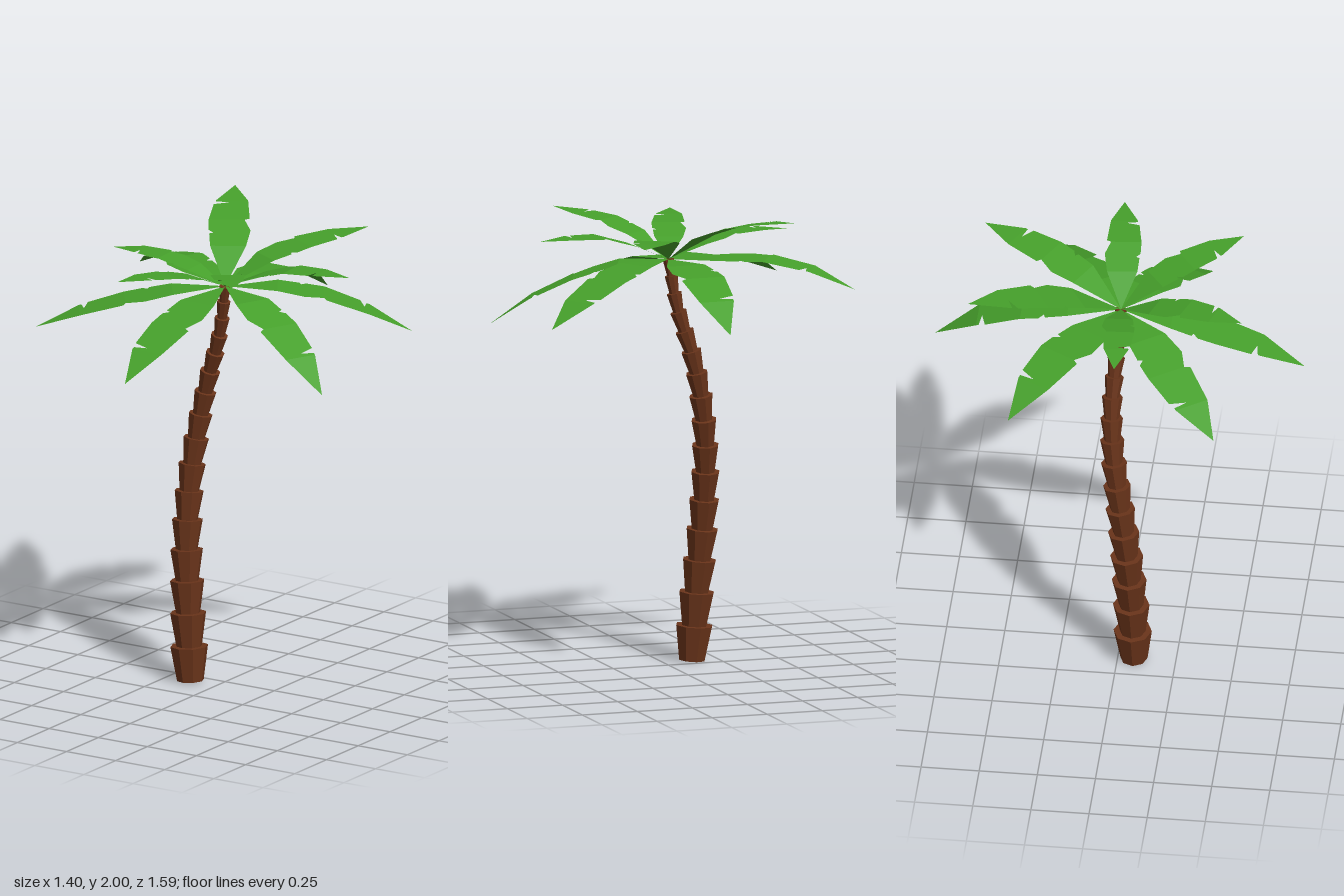
import * as THREE from 'three';

const UP = new THREE.Vector3(0, 1, 0);
const CROWN_Y = 1.76;
const STATIONS = [0, 0.28, 0.53, 0.77, 1]; // bend lines along a frond

// Half-outlines of a frond: [distance along, half width] as fractions of its length, with torn notches
const EDGE_A = [[0, 0], [0.28, 0.108], [0.395, 0.12], [0.405, 0.095], [0.43, 0.127], [0.53, 0.131],
  [0.72, 0.112], [0.745, 0.02], [0.755, 0.1], [0.77, 0.1], [1, 0]];
const EDGE_B = [[0, 0], [0.28, 0.108], [0.43, 0.127], [0.53, 0.085], [0.545, 0.115], [0.77, 0.092], [1, 0]];

// Fronds: tip x, tip z, then heights at the four bend stations beyond the crown
const FRONDS = [
  [0.005, -0.8, 1.77, 1.75, 1.68, 1.565],
  [0, 0.79, 1.74, 1.685, 1.62, 1.52],
  [-0.35, -0.62, 1.88, 1.945, 1.98, 2.0],
  [0.33, -0.62, 1.865, 1.905, 1.92, 1.925],
  [0.68, -0.42, 1.765, 1.73, 1.66, 1.565],
  [0.6, -0.05, 1.835, 1.88, 1.885, 1.88],
  [0.7, 0.32, 1.745, 1.68, 1.59, 1.465],
  [0.35, 0.49, 1.86, 1.905, 1.92, 1.93],
  [-0.2, 0.54, 1.83, 1.865, 1.878, 1.88],
  [-0.66, 0.47, 1.75, 1.71, 1.66, 1.59],
  [-0.55, 0.03, 1.825, 1.86, 1.865, 1.855],
  [-0.7, -0.41, 1.775, 1.78, 1.74, 1.655],
];

function frondGeometry([tipX, tipZ, ...drop], flip) {
  const heights = [CROWN_Y, ...drop];
  const length = Math.hypot(tipX, tipZ);
  const heightAt = (t) => {
    let i = 0;
    while (i < 3 && t > STATIONS[i + 1]) i++;
    const f = (t - STATIONS[i]) / (STATIONS[i + 1] - STATIONS[i]);
    return THREE.MathUtils.lerp(heights[i], heights[i + 1], f);
  };
  // Point at fraction t along the spine, w lengths sideways
  const at = (t, w) => [tipX * t - tipZ * w, heightAt(t), tipZ * t + tipX * w];

  const positions = [];
  for (const side of [1, -1]) {
    const edge = (side > 0) === flip ? EDGE_B : EDGE_A;
    for (let i = 0; i < edge.length - 1; i++) {
      const [t0, w0] = edge[i];
      const [t1, w1] = edge[i + 1];
      const a = at(t0, 0), b = at(t0, w0 * side), c = at(t1, w1 * side), d = at(t1, 0);
      const tris = side > 0 ? [a, b, c, a, c, d] : [a, c, b, a, d, c];
      positions.push(...tris.flat());
    }
  }
  const geometry = new THREE.BufferGeometry();
  geometry.setAttribute('position', new THREE.Float32BufferAttribute(positions, 3));
  geometry.computeVertexNormals();
  return geometry;
}

export function createModel() {
  const model = new THREE.Group();
  model.name = 'palmTree';
  const bark = new THREE.MeshStandardMaterial({ color: 0x6a341a, flatShading: true });
  const leaf = new THREE.MeshStandardMaterial({ color: 0x46a02b, flatShading: true, side: THREE.DoubleSide });

  // Trunk: flared rings stacked along a bent path, shorter and thinner towards the crown
  const trunk = new THREE.Group();
  trunk.name = 'trunk';
  const path = new THREE.CatmullRomCurve3([
    [-0.132, 0, 0.07], [-0.15, 0.3, 0.06], [-0.17, 0.6, 0.04], [-0.172, 0.87, 0.01],
    [-0.15, 1.1, -0.018], [-0.105, 1.32, -0.028], [-0.035, 1.55, -0.015], [0, CROWN_Y, 0],
  ].map((p) => new THREE.Vector3(...p)));
  const RINGS = 16;
  const ringPoint = (i) => path.getPointAt((i / RINGS) * (1.38 - 0.38 * (i / RINGS)));
  for (let i = 0; i < RINGS; i++) {
    const low = ringPoint(i), high = ringPoint(i + 1);
    const axis = high.clone().sub(low);
    const radius = 0.086 - 0.06 * ((i + 1) / RINGS);
    const ring = new THREE.Mesh(
      new THREE.CylinderGeometry(radius, radius * 0.71, axis.length(), 8), bark);
    ring.name = 'trunkRing';
    ring.position.copy(low).add(high).multiplyScalar(0.5);
    ring.quaternion.setFromUnitVectors(UP, axis.normalize());
    trunk.add(ring);
  }
  model.add(trunk);

  // Crown: flat, bent fronds with torn edges
  const crown = new THREE.Group();
  crown.name = 'crown';
  FRONDS.forEach((spec, i) => {
    const frond = new THREE.Mesh(frondGeometry(spec, i % 2 === 0), leaf);
    frond.name = 'frond';
    crown.add(frond);
  });
  model.add(crown);
  return model;
}
